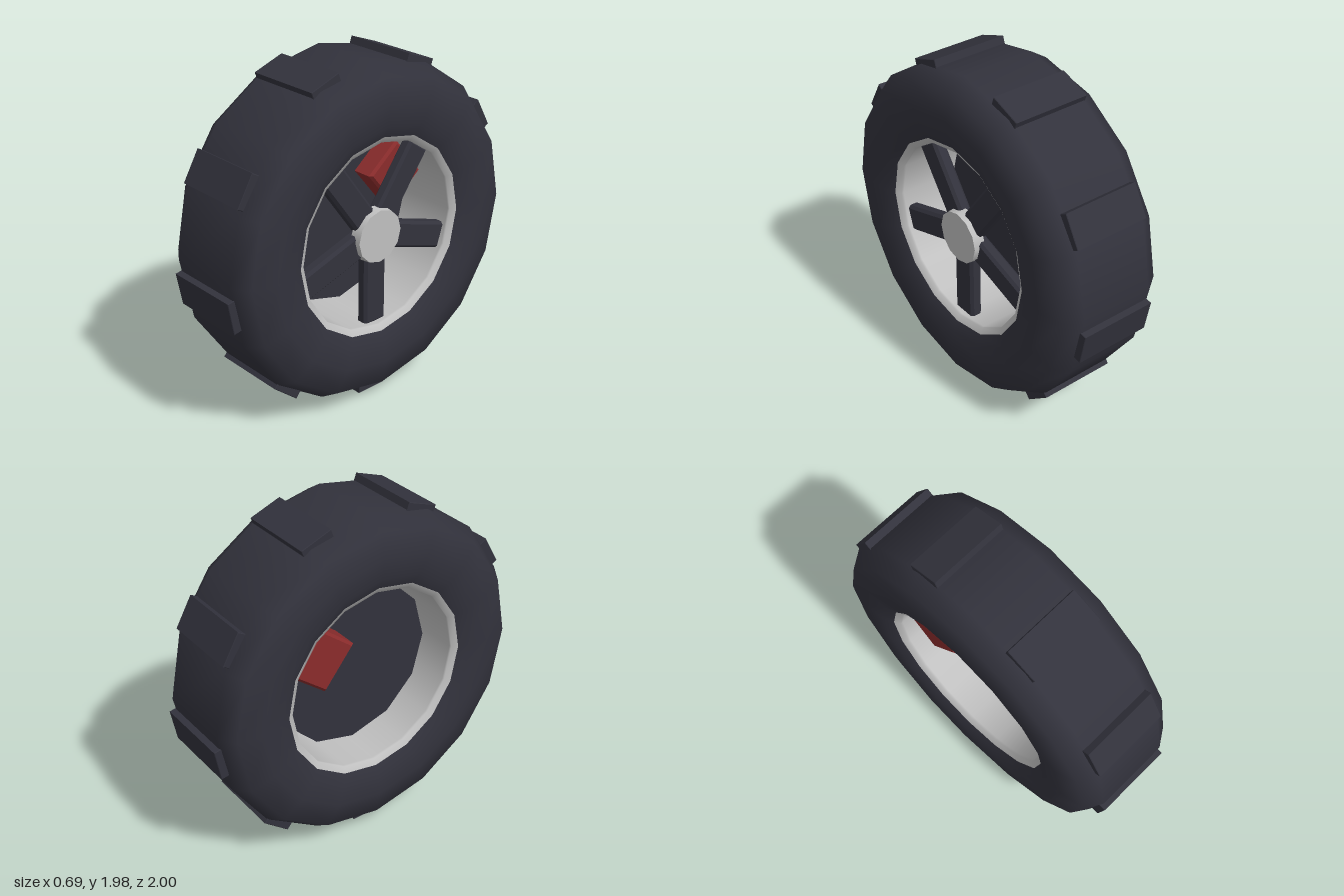
import * as THREE from 'three';

const rubber = new THREE.MeshStandardMaterial({ name: 'darkRubber', color: 0x32323c });
const metal = new THREE.MeshStandardMaterial({ name: 'lightMetal', color: 0xc0c0c0 });
const red = new THREE.MeshStandardMaterial({ name: 'caliperRed', color: 0x8b2c2c });

// Bevelled block spanning u (radial), v (tangential) and d (axle), turned about the axle
function block(name, [u0, u1], [v0, v1], [d0, d1], bevel, angle, material) {
  const b = bevel;
  const shape = new THREE.Shape([
    new THREE.Vector2(u0 + b, v0 + b), new THREE.Vector2(u1 - b, v0 + b),
    new THREE.Vector2(u1 - b, v1 - b), new THREE.Vector2(u0 + b, v1 - b),
  ]);
  const geo = new THREE.ExtrudeGeometry(shape, {
    depth: d1 - d0 - 2 * b, bevelEnabled: true, bevelSegments: 1, bevelSize: b, bevelThickness: b,
  });
  geo.translate(0, 0, d0 + b);
  const mesh = new THREE.Mesh(geo, material);
  mesh.name = name;
  mesh.rotation.z = THREE.MathUtils.degToRad(angle);
  return mesh;
}

// Round part whose axis is the axle (local z)
function round(name, geo, material, d = 0) {
  geo.rotateX(Math.PI / 2);
  const mesh = new THREE.Mesh(geo, material);
  mesh.name = name;
  mesh.position.z = d;
  return mesh;
}

const lathe = (pts) => new THREE.LatheGeometry(pts.map(([r, d]) => new THREE.Vector2(r, d)), 16);

export function createModel() {
  const model = new THREE.Group();
  model.name = 'wheel';
  // Local frame: XY is the wheel plane, Z the axle pointing outward
  const wheel = new THREE.Group();
  wheel.name = 'wheelAssembly';
  wheel.rotation.y = Math.PI / 2;
  wheel.position.y = 1;
  model.add(wheel);

  // Tyre: mirrored profile from one bead over the tread to the other
  const half = [[0.585, 0.305], [0.65, 0.335], [0.77, 0.347], [0.915, 0.32], [0.98, 0.22]];
  const profile = [...half.map(([r, d]) => [r, -d]), ...half.slice().reverse()];
  wheel.add(round('tyre', lathe(profile), rubber));

  // Rim barrel with a small sloped lip on each side, facing inward
  wheel.add(round('rim', lathe([
    [0.585, 0.305], [0.55, 0.285], [0.55, 0.27], [0.55, -0.27], [0.55, -0.285], [0.585, -0.305],
  ]), metal));

  // Tread lugs
  for (let i = 0; i < 9; i++) {
    wheel.add(block('treadLug', [0.93, 1], [-0.097, 0.097], [-0.229, 0.229], 0.003, -90 + i * 40, rubber));
  }

  // Spokes and hub cap
  for (let i = 0; i < 5; i++) {
    wheel.add(block('spoke', [0.03, 0.55], [-0.079, 0.079], [0.18, 0.255], 0.016, -90 + i * 72, rubber));
  }
  wheel.add(round('hubCap', new THREE.CylinderGeometry(0.155, 0.162, 0.065, 12), metal, 0.2525));

  // Brake disc and the caliper gripping it
  wheel.add(round('brakeDisc', new THREE.CylinderGeometry(0.508, 0.508, 0.03, 12), rubber, -0.065));
  wheel.add(block('brakeCaliper', [0.25, 0.516], [-0.176, 0.125], [-0.25, 0.08], 0.015, 39, red));

  return model;
}
